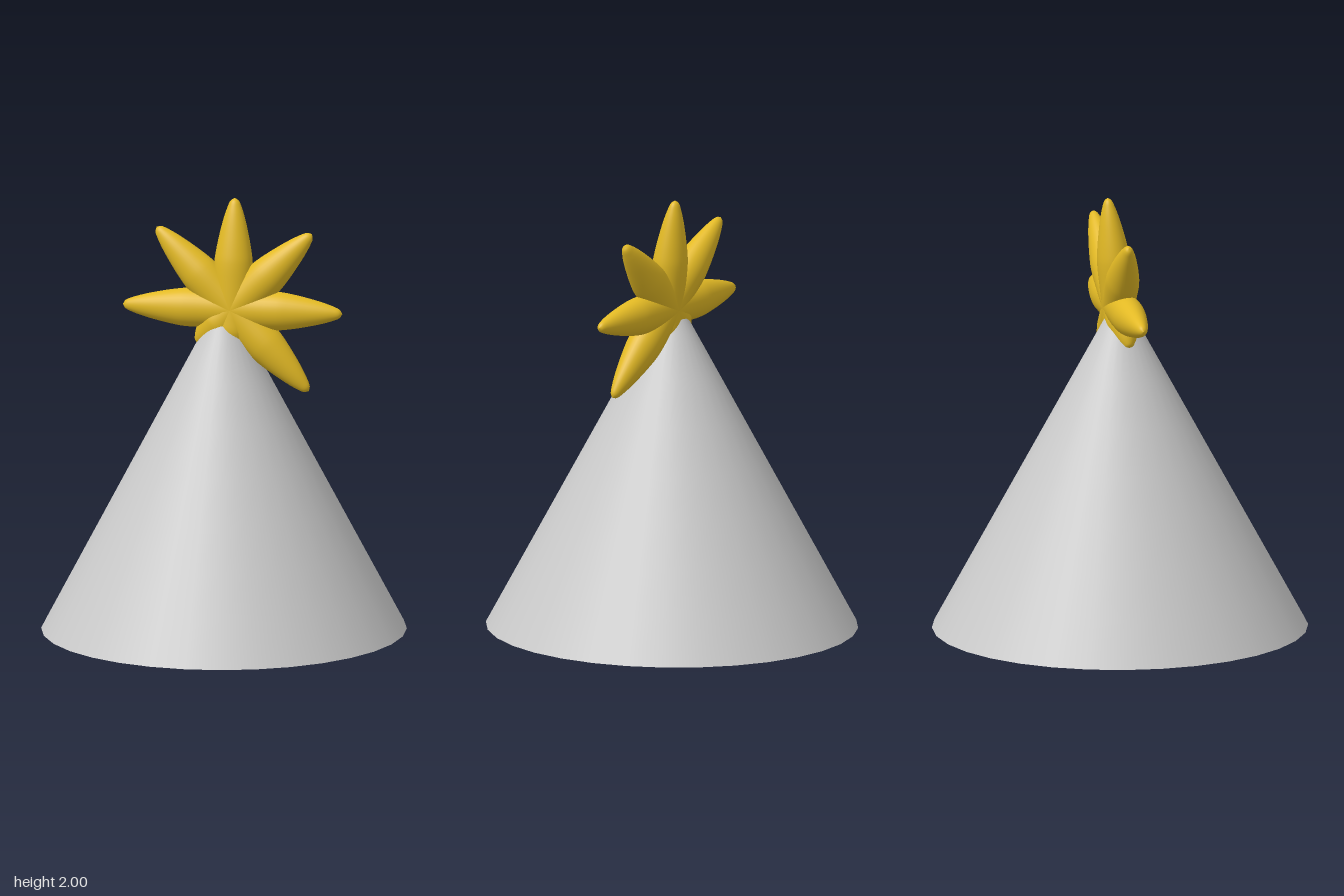
import * as THREE from 'three';

const gold = new THREE.MeshStandardMaterial({ color: 0xe2b924 });
gold.name = 'gold';
const grey = new THREE.MeshStandardMaterial({ color: 0xcacaca, side: THREE.DoubleSide });
grey.name = 'grey';

// Rounded tapering spike along +y, flattened front to back
function spike(length) {
  const profile = [
    [0.084, 0], [0.087, 0.2], [0.088, 0.42], [0.08, 0.54], [0.066, 0.68],
    [0.05, 0.81], [0.034, 0.91], [0.019, 0.975], [0, 1],
  ].map(([r, t]) => new THREE.Vector3(r, t * length, 0));
  const points = new THREE.CatmullRomCurve3(profile).getPoints(32)
    .map((p) => new THREE.Vector2(Math.max(p.x, 0), p.y));
  points[points.length - 1].x = 0;
  const geometry = new THREE.LatheGeometry(points, 32);
  geometry.scale(1, 1, 0.86);
  return geometry;
}

export function createModel() {
  const model = new THREE.Group();
  model.name = 'coneTreeWithStar';

  // Hollow cone, open underneath
  const height = 1.57;
  const cone = new THREE.Mesh(new THREE.ConeGeometry(1, height, 32, 8, true), grey);
  cone.name = 'treeCone';
  cone.scale.set(0.83, 1, 0.857);
  cone.position.y = height / 2;
  model.add(cone);

  // Star leaning back slightly; the two arms against the cone are stubs
  const star = new THREE.Group();
  star.name = 'star';
  star.position.set(0.04, 1.49, 0);
  star.rotation.x = -0.095;
  const longArm = spike(0.51);
  const stub = spike(0.23);
  for (let i = 0; i < 8; i++) {
    const isStub = i === 3 || i === 4;
    const arm = new THREE.Mesh(isStub ? stub : longArm, gold);
    arm.name = isStub ? 'starStub' : 'starArm';
    arm.rotation.z = (i * Math.PI) / 4;
    star.add(arm);
  }
  model.add(star);
  return model;
}
